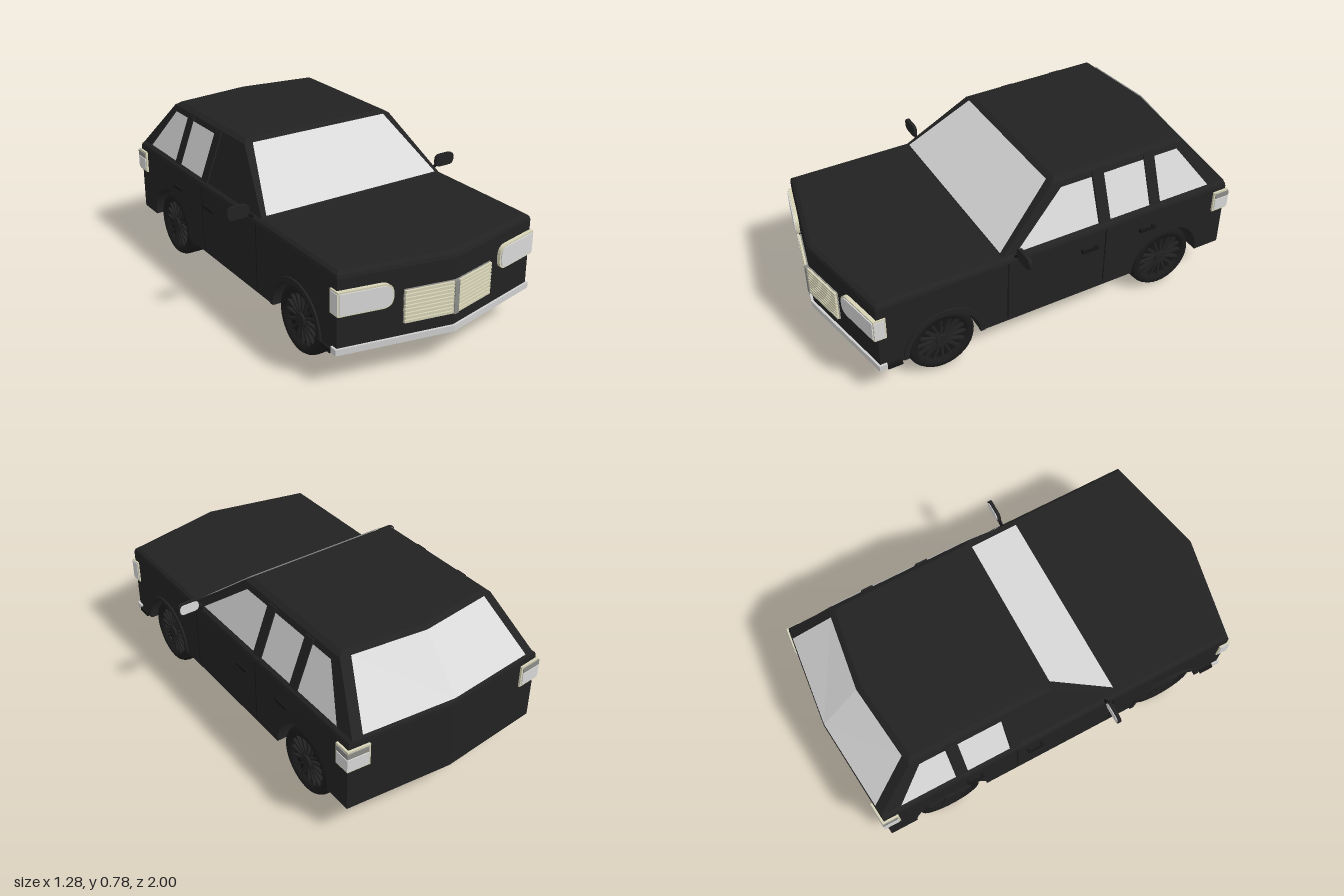
import * as THREE from 'three';

const mat = (name, color, side = THREE.FrontSide) => {
  const m = new THREE.MeshStandardMaterial({ color, side });
  m.name = name;
  return m;
};

// Front and rear faces are shallow V shapes in plan
const frontZ = x => 0.98 - 0.11 * Math.abs(x) / 0.52;
const rearZ = x => -1 + 0.05 * Math.abs(x) / 0.52;

function flat(positions) {
  const g = new THREE.BufferGeometry();
  g.setAttribute('position', new THREE.Float32BufferAttribute(positions, 3));
  g.computeVertexNormals();
  return g;
}

// Solid through plan outlines [x, z] stacked at heights y
function loft(levels) {
  const rings = levels.map(([y, pts]) => pts.map(([x, z]) => new THREE.Vector3(x, y, z)));
  const plan = r => r.map(p => new THREE.Vector2(p.x, -p.z));
  if (THREE.ShapeUtils.isClockWise(plan(rings[0]))) rings.forEach(r => r.reverse());
  const out = [], n = rings[0].length;
  const tri = (...ps) => ps.forEach(p => out.push(p.x, p.y, p.z));
  for (let k = 0; k + 1 < rings.length; k++) {
    for (let i = 0; i < n; i++) {
      const j = (i + 1) % n, a = rings[k], b = rings[k + 1];
      tri(a[i], a[j], b[j]);
      tri(a[i], b[j], b[i]);
    }
  }
  const low = rings[0], top = rings[rings.length - 1];
  for (const [a, b, c] of THREE.ShapeUtils.triangulateShape(plan(low), [])) {
    tri(low[c], low[b], low[a]);
    tri(top[a], top[b], top[c]);
  }
  return flat(out);
}

// Flat convex panel from 3D corners, lifted by an offset
function pane(pts, off) {
  const out = [];
  for (let i = 1; i + 1 < pts.length; i++)
    for (const p of [pts[0], pts[i], pts[i + 1]]) out.push(...p.map((v, k) => v + off[k]));
  return flat(out);
}

function mirrored(geo) {
  const g = geo.index ? geo.toNonIndexed() : geo.clone();
  g.scale(-1, 1, 1);
  for (const key of ['position', 'normal']) {
    const a = g.attributes[key];
    if (key === 'normal') for (let i = 0; i < a.count; i++) a.setXYZ(i, ...new THREE.Vector3().fromBufferAttribute(a, i).normalize().toArray());
    for (let i = 0; i < a.count; i += 3) {
      const p = [a.getX(i + 1), a.getY(i + 1), a.getZ(i + 1)];
      a.setXYZ(i + 1, a.getX(i + 2), a.getY(i + 2), a.getZ(i + 2));
      a.setXYZ(i + 2, ...p);
    }
  }
  return g;
}

const box = (x0, x1, y0, y1, z0, z1) =>
  new THREE.BoxGeometry(x1 - x0, y1 - y0, z1 - z0).translate((x0 + x1) / 2, (y0 + y1) / 2, (z0 + z1) / 2);

// Plate rounded at the inner end, and at the outer end if r2 is given
function pill(x0, x1, y0, y1, r, r2, depth) {
  const s = new THREE.Shape();
  s.moveTo(x0 + r, y0).lineTo(x1 - r2, y0).quadraticCurveTo(x1, y0, x1, y0 + r2);
  s.lineTo(x1, y1 - r2).quadraticCurveTo(x1, y1, x1 - r2, y1);
  s.lineTo(x0 + r, y1).quadraticCurveTo(x0, y1, x0, y1 - r).lineTo(x0, y0 + r).quadraticCurveTo(x0, y0, x0 + r, y0);
  return new THREE.ExtrudeGeometry(s, { depth, bevelEnabled: false, curveSegments: 8 });
}

function shear(geo, rule) {
  const p = geo.attributes.position;
  for (let i = 0; i < p.count; i++) p.setZ(i, p.getZ(i) + rule(p.getX(i), p.getZ(i)));
  geo.computeVertexNormals();
  return geo;
}

export function createModel() {
  const car = new THREE.Group();
  car.name = 'car';
  const paint = mat('black paint', 0x222222), rubber = mat('tyre rubber', 0x1b1b1b);
  const trim = mat('dark trim', 0x161616), glass = mat('pale glass', 0xdadada, THREE.DoubleSide);
  const cream = mat('cream trim', 0xd6d3b6), chrome = mat('chrome', 0xcfcfcf);
  const liner = mat('white liner', 0xffffff, THREE.DoubleSide), lens = mat('lamp lens', 0xd8d8d8);
  const grey = mat('grille grey', 0x8c8c88);

  const add = (name, geo, m) => {
    const mesh = new THREE.Mesh(geo, m);
    mesh.name = name;
    car.add(mesh);
  };
  const pair = (name, geo, m) => {
    add(name + 'Left', geo, m);
    add(name + 'Right', mirrored(geo), m);
  };

  // Lower body: narrow core, side skins with wheel arches, chamfered shoulder
  const outline = (w, inset = 0) => [
    [0, frontZ(0) - inset], [w, frontZ(w) - inset], [w, rearZ(w) + inset * 0.3],
    [0, rearZ(0) + inset * 0.3], [-w, rearZ(w) + inset * 0.3], [-w, frontZ(w) - inset]];
  add('bodyCore', loft([[0.16, outline(0.37)], [0.5, outline(0.37)]]), paint);
  const side = new THREE.Shape();
  side.moveTo(-0.87, 0.16).lineTo(-0.74, 0.16).absarc(-0.56, 0.165, 0.18, Math.PI, 0, true);
  side.lineTo(-0.38, 0.16).lineTo(0.438, 0.16).absarc(0.625, 0.17, 0.187, Math.PI, 0, true);
  side.lineTo(0.812, 0.16).lineTo(0.95, 0.16).lineTo(0.95, 0.5).lineTo(-0.87, 0.5);
  const skin = new THREE.ExtrudeGeometry(side, { depth: 0.15, bevelEnabled: false, curveSegments: 24 });
  skin.rotateY(Math.PI / 2).translate(0.37, 0, 0);
  shear(skin, (x, z) => (z > 0.8 ? 0.11 : z < -0.9 ? -0.05 : 0) * (1 - x / 0.52));
  pair('bodySide', skin, paint);
  add('shoulder', loft([[0.5, outline(0.52)], [0.515, outline(0.515, 0.006)], [0.526, outline(0.5, 0.025)]]), paint);

  // Cabin and roof
  const ring = (w, wt, zf, zc, ze) => [[-w, zf], [w, zf], [wt, ze], [0, zc], [-wt, ze]];
  add('cabin', loft([
    [0.52, ring(0.502, 0.502, 0.266, -1, -0.952)],
    [0.765, ring(0.41, 0.41, -0.035, -0.79, -0.74)],
    [0.781, ring(0.385, 0.385, -0.06, -0.77, -0.72)]]), paint);

  // Windows lie on the sloping cabin faces
  const wz = y => 0.266 - 1.2286 * (y - 0.52);
  const wx = y => 0.502 - 0.3755 * (y - 0.52);
  add('windscreen', pane([[-0.475, 0.53, wz(0.53)], [0.475, 0.53, wz(0.53)],
    [0.37, 0.764, wz(0.764)], [-0.37, 0.764, wz(0.764)]], [0, 0.004, 0.004]), glass);
  pair('rearWindow', pane([[0, 0.53, -0.991], [0.45, 0.53, -0.947], [0.362, 0.763, -0.746], [0, 0.763, -0.791]],
    [0, 0.004, -0.005]), glass);
  const sidePane = pts => pane(pts.map(([z, y]) => [wx(y), y, z]), [0.005, 0.002, 0]);
  add('frontDoorWindow', sidePane([[0.19, 0.53], [-0.235, 0.53], [-0.235, 0.74], [-0.075, 0.74]]), glass);
  pair('rearDoorWindow', sidePane([[-0.3, 0.53], [-0.515, 0.53], [-0.515, 0.74], [-0.3, 0.74]]), glass);
  pair('quarterWindow', sidePane([[-0.575, 0.53], [-0.85, 0.53], [-0.7, 0.74], [-0.575, 0.74]]), glass);
  for (const z of [-0.268, -0.545]) {
    const bar = new THREE.BoxGeometry(0.016, 0.25, 0.055).rotateZ(0.359).translate(wx(0.64), 0.64, z);
    pair('pillar', bar, paint);
  }

  // Door seams and handles
  for (const z of [0.24, -0.27]) pair('doorSeam', box(0.519, 0.522, 0.18, 0.5, z - 0.003, z + 0.003), trim);
  for (const z of [-0.18, -0.495]) {
    pair('doorHandle', box(0.532, 0.54, 0.412, 0.428, z - 0.042, z + 0.042), trim);
    for (const d of [-0.036, 0.036]) pair('handlePost', box(0.518, 0.534, 0.413, 0.427, z + d - 0.006, z + d + 0.006), trim);
  }

  // Front arch flares and pale rear wheel-well liners
  const flare = new THREE.Shape().absarc(0, 0, 0.2, 0, Math.PI, false);
  flare.absarc(0, 0, 0.176, Math.PI, 0, true);
  pair('archFlare', new THREE.ExtrudeGeometry(flare, { depth: 0.02, bevelEnabled: false, curveSegments: 24 })
    .rotateY(Math.PI / 2).translate(0.508, 0.165, 0.56), paint);
  pair('wheelWellLiner', new THREE.CircleGeometry(0.187, 32, 0, Math.PI).rotateY(Math.PI / 2)
    .translate(0.373, 0.17, -0.625), liner);

  // Wheels
  const profile = [[0.11, -0.065], [0.152, -0.065], [0.162, -0.05], [0.165, -0.03], [0.165, 0.03],
    [0.162, 0.05], [0.152, 0.065], [0.125, 0.065], [0.12, 0.045], [0.11, 0.045]].map(p => new THREE.Vector2(...p));
  for (const [end, z] of [['front', 0.56], ['rear', -0.625]]) {
    const place = g => g.rotateZ(-Math.PI / 2).translate(0.435, 0.165, z);
    pair(end + 'Tyre', place(new THREE.LatheGeometry(profile, 32)), rubber);
    pair(end + 'Rim', place(new THREE.CylinderGeometry(0.122, 0.122, 0.1, 32).translate(0, -0.01, 0)), trim);
    pair(end + 'Hub', place(new THREE.CylinderGeometry(0.032, 0.036, 0.03, 16).translate(0, 0.05, 0)), paint);
    for (let i = 0; i < 16; i++)
      pair(end + 'Spoke', place(new THREE.BoxGeometry(0.09, 0.018, 0.011).translate(0.074, 0.047, 0)
        .rotateY(i * Math.PI / 8)), paint);
  }

  // Chrome front bumper strip wrapping the corners
  const bumper = [[-0.53, 0.84], [-0.53, 0.878], [0, 0.992], [0.53, 0.878], [0.53, 0.84],
    [0.51, 0.84], [0.51, 0.86], [0, 0.96], [-0.51, 0.86], [-0.51, 0.84]];
  add('bumperStrip', loft([[0.157, bumper], [0.186, bumper]]), chrome);
  pair('bumperEnd', box(0.515, 0.535, 0.155, 0.175, 0.77, 0.84), trim);

  // Headlamps: cream surround with pale lens, continued around the corner
  const onFront = g => shear(g, x => frontZ(x));
  pair('headlampSurround', onFront(pill(0.285, 0.527, 0.338, 0.45, 0.05, 0.004, 0.018)), cream);
  pair('headlampLens', onFront(pill(0.293, 0.522, 0.346, 0.442, 0.044, 0.004, 0.023)), lens);
  pair('headlampSideSurround', box(0.515, 0.527, 0.338, 0.45, 0.83, 0.885), cream);
  pair('headlampSideLens', box(0.52, 0.53, 0.346, 0.442, 0.838, 0.885), lens);

  // Grille with angled slats and a centre bar
  pair('grilleBacking', onFront(box(0, 0.232, 0.245, 0.4, 0, 0.006)), grey);
  for (let i = 0; i < 9; i++) {
    const y = 0.254 + i * 0.0172;
    pair('grilleSlat', onFront(box(0.012, 0.232, y - 0.0062, y + 0.0062, 0, 0.016)), cream);
  }
  add('grilleBar', box(-0.012, 0.012, 0.245, 0.4, 0.96, 0.997), grey);

  // Tail lamps wrap the rear corners
  const lamp = (t, a, b) => [[0.52 + t, b], [0.52 + t, rearZ(0.52) - t], [a, rearZ(a) - t],
    [a, rearZ(a) + 0.01], [0.51, -0.93], [0.51, b]];
  const tail = lamp(0.01, 0.42, -0.88), inner = lamp(0.014, 0.43, -0.888);
  pair('tailLampSurround', loft([[0.375, tail], [0.485, tail]]), cream);
  pair('tailLampLens', loft([[0.385, inner], [0.445, inner]]), lens);
  pair('tailLampTop', loft([[0.45, inner], [0.476, inner]]), grey);

  // Door mirrors
  const arm = new THREE.LineCurve3(new THREE.Vector3(0.49, 0.5, 0.2), new THREE.Vector3(0.555, 0.56, 0.195));
  pair('mirrorArm', new THREE.TubeGeometry(arm, 1, 0.008, 6), trim);
  pair('mirrorShell', pill(0.528, 0.638, 0.525, 0.587, 0.028, 0.028, 0.016).translate(0, 0, 0.188), paint);
  pair('mirrorGlass', pill(0.534, 0.632, 0.531, 0.581, 0.024, 0.024, 0.004).translate(0, 0, 0.185), glass);

  return car;
}
